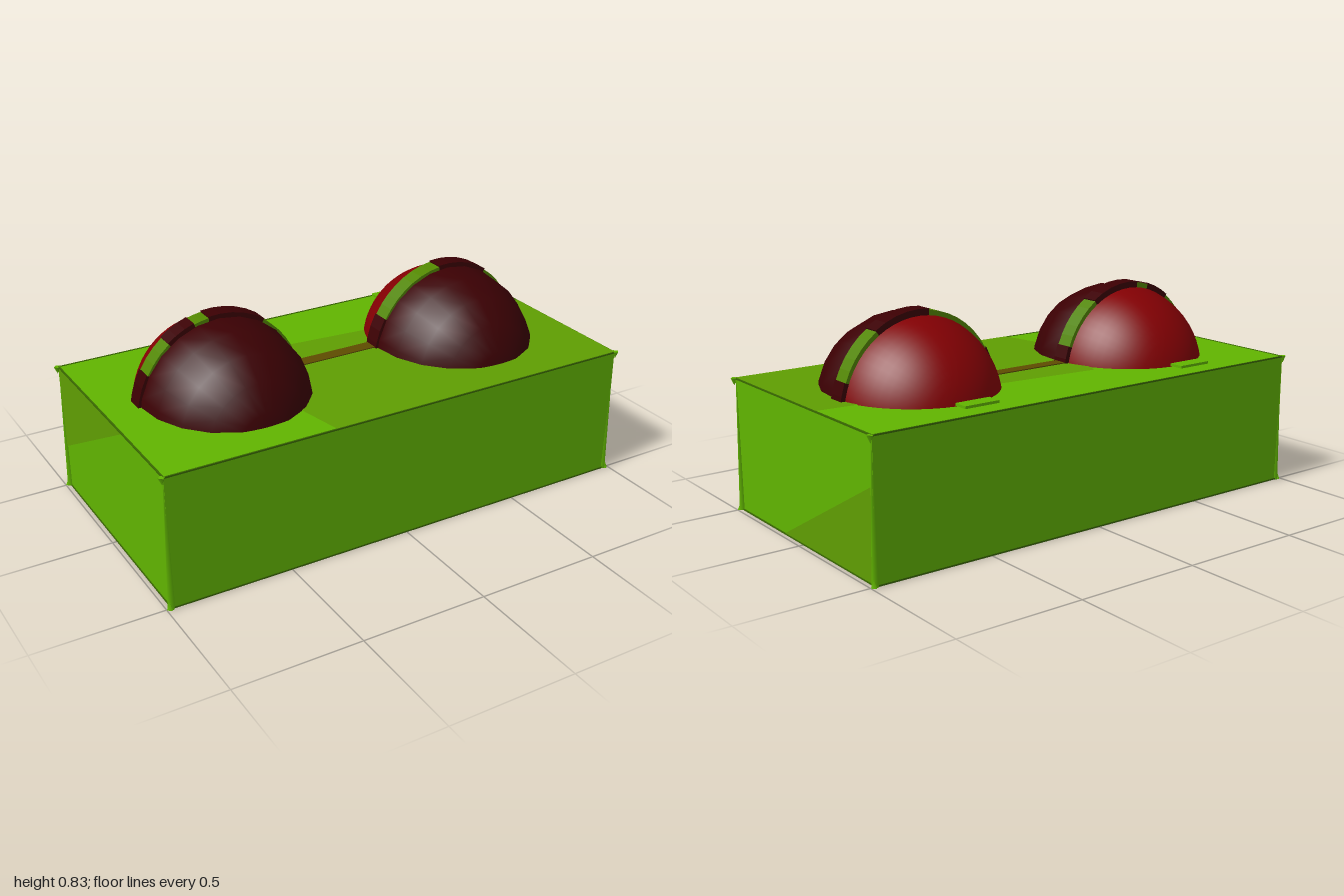
import * as THREE from 'three';

function mat(name, color, extra = {}) {
  const m = new THREE.MeshStandardMaterial({ color, ...extra });
  m.name = name;
  return m;
}

export function createModel() {
  const green = mat('green', 0x61b500);
  const olive = mat('olive green', 0x5f9e02, { side: THREE.DoubleSide });
  const bandGreen = mat('band green', 0x528600);
  const trim = mat('dark green', 0x3a6a00, { flatShading: true });
  const red = mat('red', 0x830003);
  const darkRed = mat('dark red', 0x3b0003);
  const brown = mat('brown', 0x5e4c00);

  const W = 0.98, H = 0.53, D = 0.502;
  const model = new THREE.Group();
  model.name = 'boxWithDomes';

  const add = (parent, name, geometry, material, x = 0, y = 0, z = 0) => {
    const mesh = new THREE.Mesh(geometry, material);
    mesh.name = name;
    mesh.position.set(x, y, z);
    parent.add(mesh);
    return mesh;
  };
  const box = (parent, name, w, h, d, m, x, y, z) =>
    add(parent, name, new THREE.BoxGeometry(w, h, d), m, x, y, z);
  const polygon = (points) =>
    new THREE.ShapeGeometry(new THREE.Shape(points.map(([a, b]) => new THREE.Vector2(a, b))));

  // Main block
  box(model, 'body', W * 2, H - 0.004, D * 2, green, 0, H / 2, 0);

  // Olive areas on the top and on both ends
  const topPatch = polygon([[-0.2, 0.23], [W, 0.13], [W, -D], [-0.31, -D], [-0.36, -0.25]]);
  topPatch.rotateX(-Math.PI / 2);
  add(model, 'topPatch', topPatch, olive, 0, H + 0.001, 0);
  const leftPatch = polygon([[-0.14, 0.005], [D, 0.005], [D, 0.355]]);
  leftPatch.rotateY(Math.PI / 2);
  add(model, 'leftPatch', leftPatch, olive, W + 0.002, 0, 0);
  const rightPatch = polygon([[0.14, 0.525], [-D, 0.525], [-D, 0.175]]);
  rightPatch.rotateY(-Math.PI / 2);
  add(model, 'rightPatch', rightPatch, olive, -W - 0.002, 0, 0);

  // Thin edge trim, tapered corner slivers and small corner flares
  for (const s of [-1, 1]) {
    for (const y of [0.003, H - 0.003]) {
      box(model, 'longEdge', W * 2, 0.006, 0.006, trim, 0, y, s * D);
      box(model, 'shortEdge', 0.006, 0.006, D * 2, trim, s * W, y, 0);
    }
    for (const t of [-1, 1]) {
      const post = new THREE.CylinderGeometry(0.004, 0.016, H, 4);
      add(model, 'cornerSliver', post, green, s * (W - 0.002), H / 2, t * (D - 0.006));
      for (const up of [0, 1]) {
        const flare = new THREE.ConeGeometry(0.014, 0.03, 4);
        if (up) flare.rotateX(Math.PI);
        add(model, 'cornerFlare', flare, green, s * (W + 0.006), up ? H - 0.015 : 0.015, t * D);
      }
    }
  }

  // Arc of the band, given by start and end angle in degrees
  const bandArc = (from, to, outer) => {
    const points = [];
    const steps = Math.max(2, Math.round((to - from) / 8));
    for (const [r, reverse] of [[outer, false], [0.88, true]]) {
      for (let i = 0; i <= steps; i++) {
        const k = (reverse ? steps - i : i) / steps;
        const a = THREE.MathUtils.degToRad(from + (to - from) * k);
        points.push(new THREE.Vector2(Math.cos(a) * 0.345 * r, Math.sin(a) * 0.36 * r));
      }
    }
    return new THREE.ExtrudeGeometry(new THREE.Shape(points), { depth: 0.07, bevelEnabled: false });
  };

  // Cap of an ellipsoid whose poles lie along z
  const cap = (segments, rings, start, length) => {
    const g = new THREE.SphereGeometry(1, segments, rings, Math.PI - 0.25, Math.PI + 0.5, start, length);
    g.rotateX(Math.PI / 2);
    g.scale(0.336, 0.343, 0.373);
    return g;
  };

  // Two domes, each with a coarse front, a banded middle and a smooth back
  for (const side of [-1, 1]) {
    const dome = new THREE.Group();
    dome.name = side > 0 ? 'leftDome' : 'rightDome';
    dome.position.set(side * 0.513, 0.47, 0);
    model.add(dome);
    add(dome, 'domeFront', cap(14, 5, 0, 1.6), darkRed);
    add(dome, 'domeBack', cap(32, 14, 1.79, Math.PI - 1.79), red);
    // Green and dark stretches of the band; the right one has an extra dark patch
    const upperGreen = side > 0
      ? [[97, 150, bandGreen]]
      : [[97, 107, bandGreen], [107, 127, darkRed], [127, 150, bandGreen]];
    const arcs = [
      [-12, 21, darkRed], [21, 57, bandGreen], [57, 97, darkRed],
      ...upperGreen, [150, 192, darkRed],
    ];
    for (const [from, to, m] of arcs) {
      add(dome, 'bandSegment', bandArc(from, to, m === bandGreen ? 0.985 : 1), m, 0, 0, -0.08);
    }
    // Small tab floating behind the dome
    box(model, 'rearTab', 0.145, 0.01, 0.06, green, side * 0.513, 0.55, -0.438);
  }

  // Flat strip joining the two bands
  box(model, 'joiningStrip', 0.4, 0.008, 0.055, brown, 0, H + 0.001, -0.047);

  return model;
}
